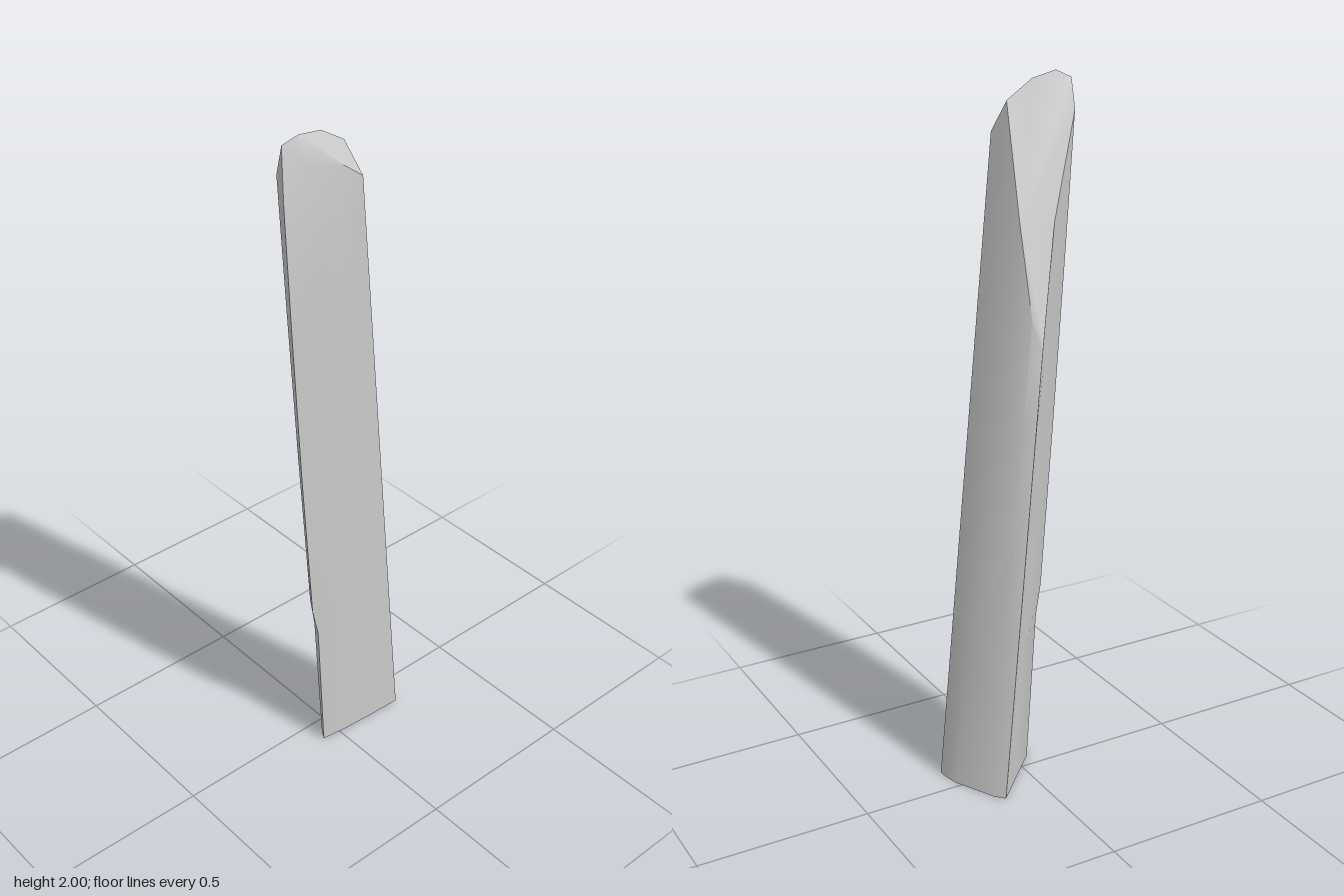
import * as THREE from 'three';
import { toCreasedNormals } from 'three/addons/utils/BufferGeometryUtils.js';

// Edges running up the stone, anticlockwise seen from above:
// [foot x, foot z, top x, top y, top z]
const EDGES = [
  [0.09, -0.222, 0.12, 1.85, -0.024],   // 0 back right corner
  [0.06, -0.219, 0.075, 1.935, -0.002], // 1 back, under the ridge
  [0.02, -0.21, 0.0, 1.63, -0.006],     // 2 back middle
  [-0.10, -0.15, -0.055, 1.38, 0.0],    // 3 back, beside the thin corner
  [-0.127, -0.125, -0.075, 1.3, 0.022], // 4 thin corner
  [-0.06, -0.06, 0.0, 1.62, 0.1],       // 5 front face
  [0.045, 0.043, 0.065, 1.9, 0.2],      // 6 front face, near the corner
  [0.07, 0.057, 0.115, 1.84, 0.22],     // 7 front corner
  [0.08, -0.02, 0.12, 1.93, 0.15],      // 8 side face
  [0.086, -0.12, 0.125, 1.9, 0.045],    // 9 side face
];
// Levels up the shaft: [fraction of height, shift of the front corner in z]
const LEVELS = [[0, 0], [0.24, -0.008], [0.29, 0.006], [0.55, 0.008], [0.8, 0.005], [1, 0]];
// Ridge along the top, continuing from edge 1
const RIDGE = [[0.085, 1.985, 0.08], [0.098, 2, 0.16], [0.085, 1.98, 0.2]];

function stoneGeometry() {
  const n = EDGES.length, verts = [], index = [];

  // Rings of the leaning shaft
  for (const [t, shift] of LEVELS) {
    EDGES.forEach(([x0, z0, x1, y1, z1], i) => {
      const chip = i === 7 ? shift : i === 6 ? shift * 0.6 : 0;
      verts.push(x0 + (x1 - x0) * t, y1 * t, z0 + (z1 - z0) * t + chip);
    });
  }
  for (let r = 0; r < LEVELS.length - 1; r++) {
    for (let i = 0; i < n; i++) {
      const a = r * n + i, b = r * n + (i + 1) % n;
      index.push(a, b, b + n, a, b + n, a + n);
    }
  }

  // Convex polygon as a fan from its first corner
  const fan = (...p) => {
    for (let i = 1; i < p.length - 1; i++) index.push(p[0], p[i], p[i + 1]);
  };
  // Flat foot
  fan(...EDGES.map((_, i) => n - 1 - i));

  // Slanted cut and the bevels round the tip
  const top = (LEVELS.length - 1) * n, r1 = top + n, r2 = r1 + 1, r3 = r1 + 2;
  RIDGE.forEach((p) => verts.push(...p));
  fan(top + 2, top + 3, top + 4, top + 5, top + 6, r3, r2, r1, top + 1);
  fan(top, top + 1, r1, top + 9);
  fan(top + 9, r1, r2, top + 8);
  fan(top + 8, r2, r3, top + 7);
  fan(top + 6, top + 7, r3);

  const geo = new THREE.BufferGeometry();
  geo.setAttribute('position', new THREE.Float32BufferAttribute(verts, 3));
  geo.setIndex(index);
  return toCreasedNormals(geo, 0.5);
}

export function createModel() {
  const group = new THREE.Group();
  group.name = 'leaningStone';
  const stone = new THREE.Mesh(stoneGeometry(), new THREE.MeshStandardMaterial({ color: 0xcccccc }));
  stone.name = 'stone';
  group.add(stone);
  return group;
}
